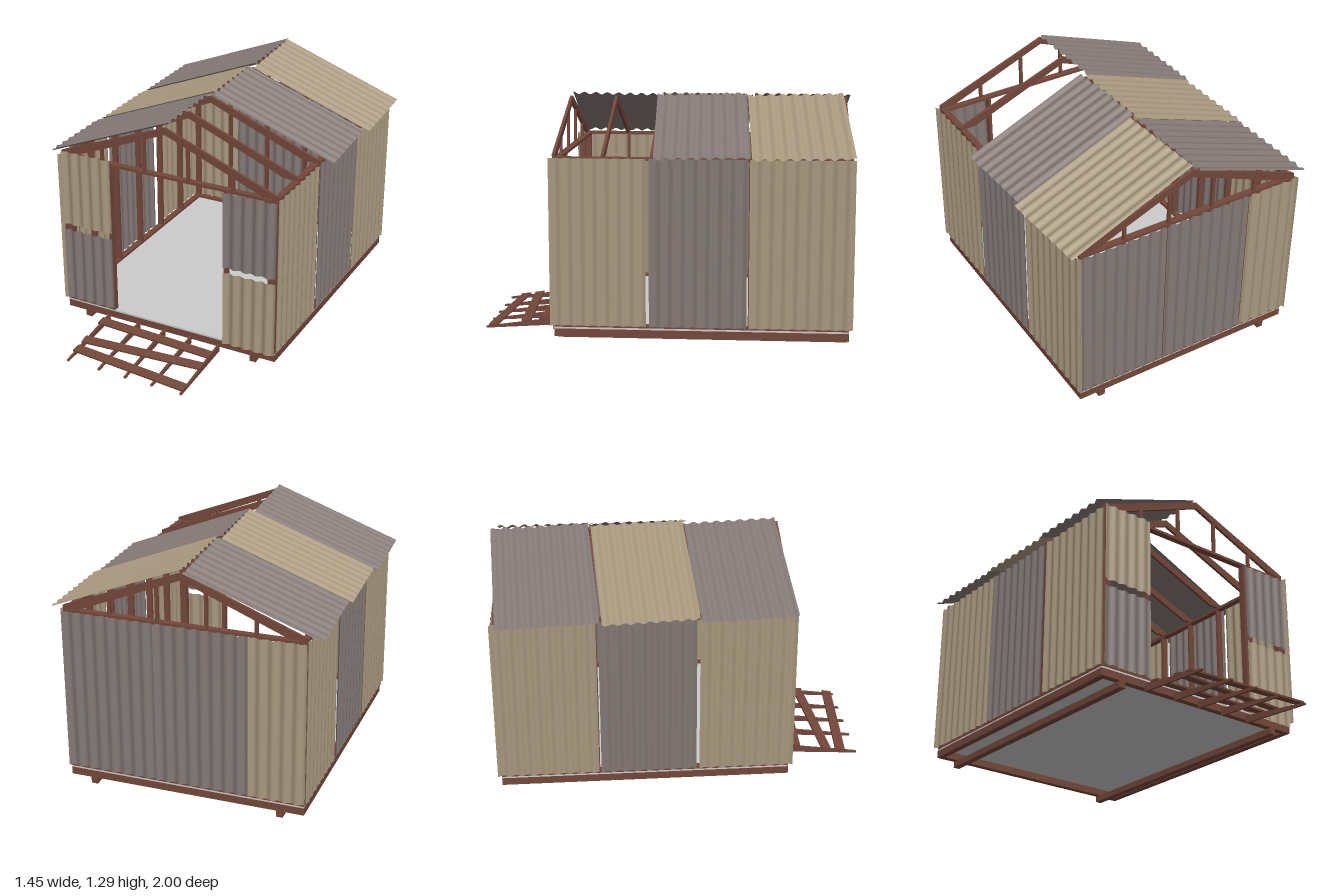
import * as THREE from 'three';

const WOOD = new THREE.MeshStandardMaterial({ color: 0x74473a });
const FLOOR = new THREE.MeshStandardMaterial({ color: 0xcccccc });
const GREY = new THREE.MeshStandardMaterial({ color: 0x847976, side: THREE.DoubleSide });
const TAN = new THREE.MeshStandardMaterial({ color: 0xa8987e, side: THREE.DoubleSide });

export function createModel() {
  const model = new THREE.Group();
  model.name = 'shed';

  const add = (name, geometry, material, x = 0, y = 0, z = 0) => {
    const mesh = new THREE.Mesh(geometry, material);
    mesh.name = name;
    mesh.position.set(x, y, z);
    model.add(mesh);
    return mesh;
  };

  // Box given by its minimum and maximum on each axis
  const box = (name, x0, x1, y0, y1, z0, z1, material = WOOD) =>
    add(name, new THREE.BoxGeometry(x1 - x0, y1 - y0, z1 - z0), material,
      (x0 + x1) / 2, (y0 + y1) / 2, (z0 + z1) / 2);

  // Corrugated sheet in the xy plane, ribs running along y
  const sheetGeometry = (width, height) => {
    const g = new THREE.PlaneGeometry(width, height, Math.round(width / 0.008), 1);
    const p = g.attributes.position;
    for (let i = 0; i < p.count; i++) {
      p.setZ(i, 0.007 * Math.cos((p.getX(i) + width / 2) * Math.PI * 2 / 0.064));
    }
    g.computeVertexNormals();
    return g;
  };

  // Base: skids, rim and floor
  for (const s of [-1, 1]) {
    box('skid', s * 0.515 - 0.018, s * 0.515 + 0.018, 0.015, 0.05, -0.975, 0.565);
    box('sideRim', s * 0.6275 - 0.0175, s * 0.6275 + 0.0175, 0.05, 0.09, -0.975, 0.565);
  }
  box('frontRim', -0.61, 0.61, 0.05, 0.09, 0.53, 0.565);
  box('backRim', -0.61, 0.61, 0.05, 0.09, -0.975, -0.94);
  box('floor', -0.643, 0.643, 0.09, 0.1, -0.973, 0.563, FLOOR);

  // Bottom and top plates
  for (const s of [-1, 1]) {
    for (const [name, y0, y1] of [['bottomPlate', 0.1, 0.115], ['topPlate', 0.983, 1]]) {
      box(name, s * 0.6275 - 0.0175, s * 0.6275 + 0.0175, y0, y1, -0.975, 0.565);
    }
    box('frontBottomPlate', s * 0.475 - 0.135, s * 0.475 + 0.135, 0.1, 0.115, 0.53, 0.565);
  }
  box('backBottomPlate', -0.61, 0.61, 0.1, 0.115, -0.975, -0.94);
  box('backTopPlate', -0.61, 0.61, 0.98, 0.995, -0.975, -0.94);
  box('frontTopPlate', -0.61, 0.61, 0.98, 0.995, 0.53, 0.565);

  // Rafter pairs with side studs below
  const chevron = new THREE.Shape([
    [-0.645, 1], [-0.56, 1], [0, 1.228], [0.56, 1], [0.645, 1],
    [0.645, 1.015], [0, 1.266], [-0.645, 1.015],
  ].map(([x, y]) => new THREE.Vector2(x, y)));
  for (let i = 0; i < 7; i++) {
    const z = 0.5575 - i * 0.254;
    const rafter = new THREE.ExtrudeGeometry(chevron, { depth: 0.015, bevelEnabled: false });
    add('rafterPair', rafter, WOOD, 0, 0, z - 0.0075);
    for (const s of [-1, 1]) {
      box('sideStud', s * 0.6275 - 0.0175, s * 0.6275 + 0.0175, 0.115, 0.983, z - 0.0075, z + 0.0075);
    }
  }

  // Back studs, door posts, corner posts and gable posts
  for (const x of [-0.39, -0.13, 0.13, 0.39]) {
    box('backStud', x - 0.0075, x + 0.0075, 0.115, 0.98, -0.975, -0.94);
    const top = 1.235 - Math.abs(x) * 0.4;
    const w = 0.009;
    box('backGablePost', x - w, x + w, 0.995, top, -0.974, -0.96);
    box('frontGablePost', x - w, x + w, 0.995, top, 0.55, 0.564);
  }
  for (const s of [-1, 1]) {
    box('doorPost', s * 0.35 - 0.009, s * 0.35 + 0.009, 0.115, 0.98, 0.53, 0.565);
    box('cornerPost', s * 0.602 - 0.008, s * 0.602 + 0.008, 0.115, 0.98, 0.53, 0.565);
  }

  // Side wall sheets
  for (const s of [-1, 1]) {
    for (const [z0, z1, m] of [[0.08, 0.585, TAN], [-0.444, 0.064, GREY], [-0.995, -0.456, TAN]]) {
      const sheet = add('sideSheet', sheetGeometry(z1 - z0, 0.885), m, s * 0.653, 0.5525, (z0 + z1) / 2);
      sheet.rotation.y = s * Math.PI / 2;
    }
  }

  // Back wall and front wall sheets: x0, x1, y0, y1, z
  const wall = (name, x0, x1, y0, y1, z, m) => {
    const sheet = add(name, sheetGeometry(x1 - x0, y1 - y0), m, (x0 + x1) / 2, (y0 + y1) / 2, z);
    if (z < 0) sheet.rotation.y = Math.PI;
  };
  wall('backSheet', 0.15, 0.65, 0.11, 0.985, -0.983, GREY);
  wall('backSheet', -0.35, 0.15, 0.11, 0.985, -0.983, GREY);
  wall('backSheet', -0.65, -0.35, 0.11, 0.985, -0.983, TAN);
  wall('frontUpperSheet', -0.64, -0.338, 0.58, 1.015, 0.574, TAN);
  wall('frontLowerSheet', -0.64, -0.338, 0.112, 0.545, 0.574, GREY);
  wall('frontUpperSheet', 0.342, 0.645, 0.548, 0.98, 0.574, GREY);
  wall('frontLowerSheet', 0.342, 0.645, 0.085, 0.518, 0.574, TAN);

  // Roof sheets, each slightly askew; one is missing at the front left
  const pitch = 0.371;
  for (const [x, z, width, m] of [
    [-0.36, -0.717, 0.525, GREY], [-0.355, -0.192, 0.5, TAN], [-0.358, 0.315, 0.5, GREY],
    [0.357, -0.712, 0.527, TAN], [0.355, -0.195, 0.497, GREY],
  ]) {
    const g = sheetGeometry(width, 0.755).rotateX(-Math.PI / 2).rotateY(Math.PI / 2);
    const sheet = add('roofSheet', g, m, x, 1.28 - Math.abs(x) * Math.tan(pitch), z);
    sheet.rotation.set(0, 0.047, -Math.sign(x) * pitch, 'ZYX');
  }

  // Ramp: wedge stringers under three crooked slats
  const wedge = new THREE.Shape([
    [0.57, 0.028], [1, 0], [1, 0.01], [0.57, 0.07],
  ].map(([z, y]) => new THREE.Vector2(-z, y)));
  for (const x of [-0.375, -0.182, -0.02, 0.142, 0.315]) {
    const g = new THREE.ExtrudeGeometry(wedge, { depth: 0.012, bevelEnabled: false });
    add('rampStringer', g.rotateY(Math.PI / 2), WOOD, x - 0.006, 0, 0);
  }
  for (const [z, yaw] of [[0.663, -0.04], [0.8, 0.07], [0.932, -0.078]]) {
    const slat = add('rampSlat', new THREE.BoxGeometry(0.71, 0.01, 0.055), WOOD,
      -0.03, 0.07 - (z - 0.57) * 0.14 + 0.006, z);
    slat.rotation.set(0.139, yaw, 0);
  }

  return model;
}
